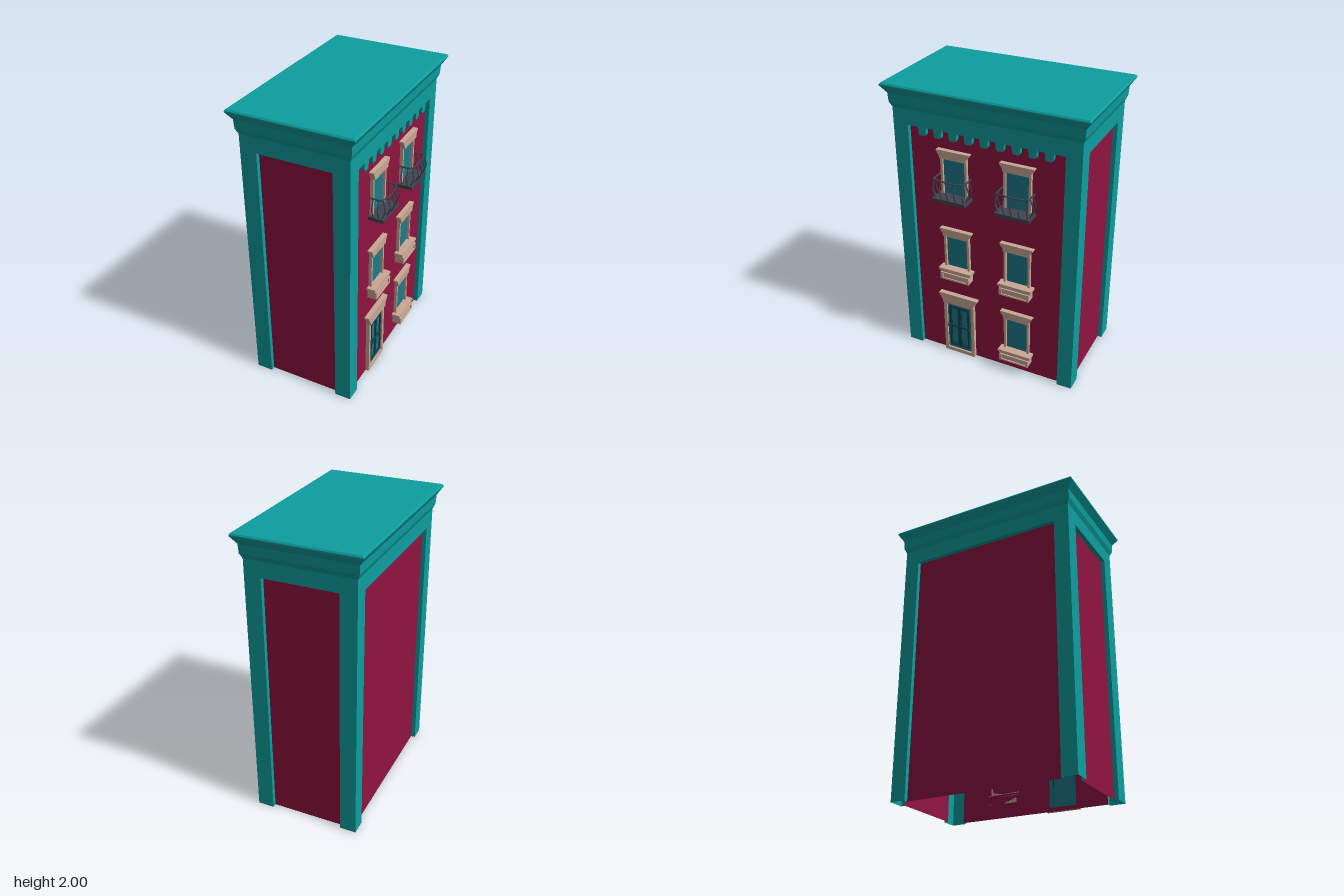
import * as THREE from 'three';

const mat = (color) => new THREE.MeshStandardMaterial({ color, side: THREE.DoubleSide });
const M = {
  teal: mat(0x0d9e9e), red: mat(0x901340), stone: mat(0xcaa795),
  glass: mat(0x1c7a8a), dark: mat(0x123f4c), iron: mat(0x40444f),
};

function add(parent, name, geometry, material, x = 0, y = 0, z = 0) {
  const m = new THREE.Mesh(geometry, material);
  m.name = name;
  m.position.set(x, y, z);
  parent.add(m);
  return m;
}
const box = (p, name, material, w, h, d, x, y, z) =>
  add(p, name, new THREE.BoxGeometry(w, h, d), material, x, y, z);

// Flat quads; corners run counter-clockwise seen from outside
function quads(list) {
  const pos = [];
  for (const [a, b, c, d] of list) pos.push(...a, ...b, ...c, ...a, ...c, ...d);
  const g = new THREE.BufferGeometry();
  g.setAttribute('position', new THREE.Float32BufferAttribute(pos, 3));
  g.computeVertexNormals();
  return g;
}
// Vertical strip over a plan polyline of [x, z]
const strip = (pts, y0, y1) => quads(pts.slice(1).map(([x, z], i) => {
  const [px, pz] = pts[i];
  return [[px, y0, pz], [x, y0, z], [x, y1, z], [px, y1, pz]];
}));

function extrude(points, depth, hole) {
  const v = (a) => a.map(([x, y]) => new THREE.Vector2(x, y));
  const s = new THREE.Shape(v(points));
  if (hole) s.holes.push(new THREE.Path(v(hole)));
  return new THREE.ExtrudeGeometry(s, { depth, bevelEnabled: false });
}
const rect = (hw, y0, y1) => [[-hw, y0], [hw, y0], [hw, y1], [-hw, y1]];
const mirrored = (half) => [...half, ...half.map(([x, y]) => [-x, y]).reverse()];

function tube(p, name, pts, r, material = M.iron) {
  const curve = new THREE.CatmullRomCurve3(pts.map((a) => new THREE.Vector3(...a)));
  return add(p, name, new THREE.TubeGeometry(curve, 14, r, 6, false), material);
}

// Shell measurements
const CX = -0.025, HX = 0.365, HZ = 0.64, TOP = 1.73, INSET = 0.03;
const PX = 0.2525, PZ = 0.535; // half widths of the recessed panels

function shell(g) {
  const ix = HX - INSET, iz = HZ - INSET;
  // Corner piers, each an L with its reveals
  for (const sx of [1, -1]) for (const sz of [1, -1]) {
    let pts = [[PX, iz], [PX, HZ], [HX, HZ], [HX, PZ], [ix, PZ]].map(([x, z]) => [CX + sx * x, sz * z]);
    if (sx * sz < 0) pts = pts.reverse();
    add(g, 'cornerPier', strip(pts, 0, TOP), M.teal);
  }
  // Recessed walls
  for (const s of [1, -1]) {
    add(g, s > 0 ? 'frontWall' : 'backWall', strip([[CX - s * PX, s * iz], [CX + s * PX, s * iz]], 0, TOP), M.red);
    add(g, s > 0 ? 'streetWall' : 'partyWall', strip([[CX + s * ix, s * PZ], [CX + s * ix, -s * PZ]], 0, TOP), M.red);
  }
  // Cornice: rectangular rings of [outward offset, height]
  const profile = [[-INSET, TOP], [0, TOP], [0, 1.835], [0.015, 1.87], [0.018, 1.93],
    [0.052, 1.982], [0.052, 1.99], [0.045, 2]];
  const rings = profile.map(([o, y]) => [[1, 1], [1, -1], [-1, -1], [-1, 1]]
    .map(([sx, sz]) => [CX + sx * (HX + o), y, sz * (HZ + o)]));
  const faces = [];
  for (let i = 1; i < rings.length; i++) for (let k = 0; k < 4; k++) {
    const n = (k + 1) % 4;
    faces.push([rings[i - 1][k], rings[i - 1][n], rings[i][n], rings[i][k]]);
  }
  faces.push(rings.at(-1));
  add(g, 'corniceAndRoof', quads(faces), M.teal);
}

// Stone surround, flared head and pane; y0..y1 is the pane
function makeWindow(x, y0, y1, sill) {
  const w = new THREE.Group();
  w.name = 'window';
  w.position.x = x;
  add(w, 'windowSurround', extrude(rect(0.094, y0 - 0.015, y1 + 0.012), 0.022, rect(0.078, y0, y1)), M.stone);
  add(w, 'windowPane', new THREE.PlaneGeometry(0.156, y1 - y0), M.glass, 0, (y0 + y1) / 2, 0.006);
  add(w, 'windowHead', extrude(mirrored([[0.094, y1], [0.097, y1 + 0.022], [0.108, y1 + 0.036],
    [0.117, y1 + 0.05], [0.117, y1 + 0.058]]), 0.033), M.stone);
  if (sill) {
    box(w, 'sillLedge', M.stone, 0.242, 0.016, 0.063, 0, y0 - 0.008, 0.0315);
    box(w, 'sillMoulding', M.stone, 0.226, 0.014, 0.058, 0, y0 - 0.023, 0.029);
    box(w, 'sillBox', M.stone, 0.206, 0.05, 0.06, 0, y0 - 0.055, 0.03);
    add(w, 'sillBoxFrame', extrude(rect(0.108, y0 - 0.083, y0 - 0.03), 0.068,
      rect(0.09, y0 - 0.072, y0 - 0.036)), M.stone);
  }
  return w;
}

function makeBalcony(x, y) {
  const b = new THREE.Group();
  b.name = 'balcony';
  b.position.set(x, y, 0);
  box(b, 'balconyFloor', M.iron, 0.238, 0.024, 0.105, 0, 0.012, 0.0525);
  const bow = (u) => 0.105 - 0.016 * (u / 0.11) ** 2; // shallow bowed front
  for (const h of [0.155]) {
    const front = [-0.11, -0.055, 0, 0.055, 0.11].map((u) => [u, h, bow(u)]);
    tube(b, 'handrail', front, 0.006);
    for (const s of [-1, 1]) tube(b, 'sideRail', [[s * 0.11, h, 0], [s * 0.11, h, bow(0.11)]], 0.006);
  }
  // Bellied balusters: front ones swell outward, side ones sideways
  for (const u of [-0.1, -0.05, 0, 0.05, 0.1]) {
    const z = bow(u);
    tube(b, 'frontBaluster', [[u, 0.02, z - 0.008], [u * 1.04, 0.055, z + 0.01], [u * 1.06, 0.085, z + 0.019],
      [u * 1.04, 0.115, z + 0.012], [u, 0.155, z]], 0.0042);
  }
  for (const s of [-1, 1]) for (const z of [0.03, 0.068]) {
    tube(b, 'sideBaluster', [[s * 0.108, 0.02, z], [s * 0.122, 0.055, z], [s * 0.13, 0.085, z],
      [s * 0.124, 0.115, z], [s * 0.11, 0.155, z]], 0.0042);
  }
  return b;
}

function makeDoor(x) {
  const d = new THREE.Group();
  d.name = 'door';
  d.position.x = x;
  add(d, 'doorSurround', extrude(rect(0.118, 0, 0.43), 0.026, rect(0.094, 0.028, 0.422)), M.stone);
  add(d, 'doorHead', extrude(mirrored([[0.118, 0.424], [0.12, 0.45], [0.132, 0.466],
    [0.147, 0.488], [0.147, 0.502]]), 0.035), M.stone);
  box(d, 'doorLeaf', M.glass, 0.19, 0.396, 0.014, 0, 0.225, 0.007);
  // Two tall lights with dark borders
  add(d, 'doorBorder', extrude(rect(0.077, 0.055, 0.4), 0.022, rect(0.066, 0.066, 0.389)), M.dark);
  box(d, 'doorMullion', M.dark, 0.018, 0.33, 0.022, 0, 0.228, 0.011);
  box(d, 'doorBar', M.dark, 0.15, 0.012, 0.026, 0, 0.23, 0.013);
  for (const s of [-1, 1]) {
    add(d, 'doorLightTrim', extrude(rect(0.029, 0.073, 0.382), 0.018, rect(0.023, 0.079, 0.376)), M.dark, s * 0.038);
  }
  box(d, 'doorHandle', M.dark, 0.02, 0.014, 0.034, -0.078, 0.23, 0.017);
  return d;
}

export function createModel() {
  const g = new THREE.Group();
  g.name = 'townHouse';
  shell(g);

  // Street side, built facing +z and then turned to face +x
  const f = new THREE.Group();
  f.name = 'streetFacade';
  f.position.x = CX + HX - INSET;
  f.rotation.y = Math.PI / 2;
  g.add(f);

  const col = 0.222;
  f.add(makeDoor(-col));
  f.add(makeWindow(col, 0.178, 0.432, true));
  for (const s of [-1, 1]) {
    f.add(makeWindow(s * col, 0.733, 0.973, true));
    f.add(makeWindow(s * col, 1.285, 1.545, false));
    f.add(makeBalcony(s * col, 1.268));
  }

  // Row of rounded brackets under the cornice
  const bracket = extrude(mirrored([[0.031, TOP], [0.027, 1.712], [0.026, 1.69], [0.023, 1.68], [0.016, 1.675]]), 0.03);
  for (let i = -4; i <= 4; i++) add(f, 'bracket', bracket, M.teal, i * 0.108);
  return g;
}
